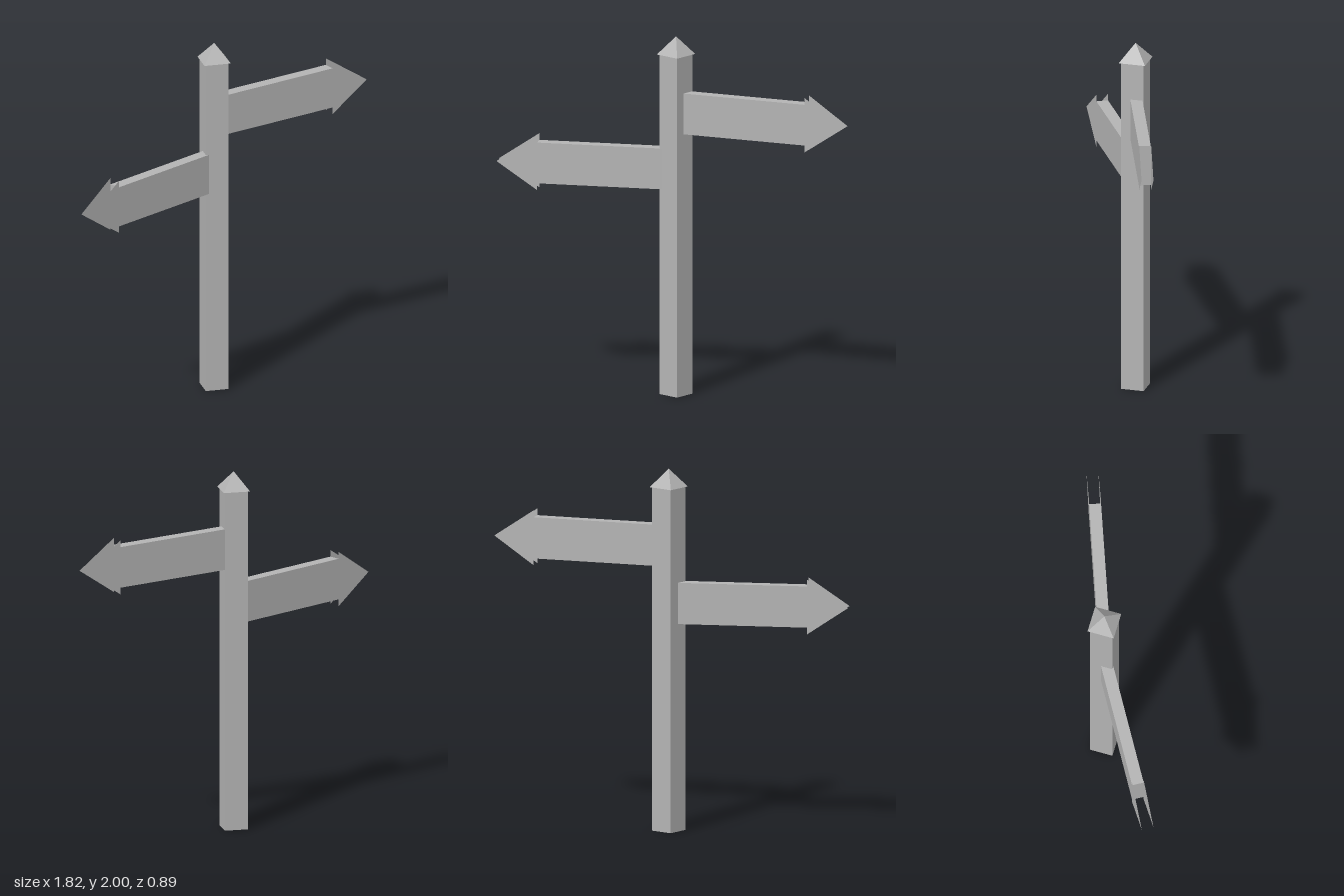
import * as THREE from 'three';

export function createModel() {
  const model = new THREE.Group();
  model.name = 'signpost';

  // The arrowheads are open sheets, so both sides show
  const grey = new THREE.MeshStandardMaterial({ color: 0xb4b4b4, flatShading: true, side: THREE.DoubleSide });
  grey.name = 'grey';

  const postX = -0.037, postZ = -0.077;

  function add(parent, name, geometry, x, y, z) {
    const mesh = new THREE.Mesh(geometry, grey);
    mesh.name = name;
    mesh.position.set(x, y, z);
    parent.add(mesh);
    return mesh;
  }

  // Square post with a pyramid cap
  add(model, 'post', new THREE.BoxGeometry(0.128, 1.9, 0.128), postX, 0.95, postZ);
  const cap = new THREE.ConeGeometry(0.148 / Math.SQRT2, 0.1, 4);
  cap.rotateY(Math.PI / 4);
  add(model, 'postCap', cap, postX, 1.95, postZ);

  // Arrow sign: a board running out from the post centre,
  // with a thin triangular sheet on each face for the head
  const boardLength = 0.765, boardHeight = 0.228, thickness = 0.065;
  const headLength = 0.226, headHeight = 0.304;
  const head = new THREE.Shape([
    new THREE.Vector2(0, -headHeight / 2),
    new THREE.Vector2(headLength, 0),
    new THREE.Vector2(0, headHeight / 2),
  ]);

  function addSign(name, y, degrees) {
    const sign = new THREE.Group();
    sign.name = name;
    sign.position.set(postX, y, postZ);
    sign.rotation.y = THREE.MathUtils.degToRad(degrees);
    add(sign, 'board', new THREE.BoxGeometry(boardLength, boardHeight, thickness), boardLength / 2, 0, 0);
    for (const side of [1, -1]) {
      const sheet = new THREE.ShapeGeometry(head);
      // Turn the second sheet over so it faces outward
      if (side < 0) sheet.rotateX(Math.PI);
      add(sign, side > 0 ? 'headFront' : 'headBack', sheet, boardLength, 0, side * thickness / 2);
    }
    model.add(sign);
  }
  addSign('leftSign', 1.578, 20);
  addSign('rightSign', 1.262, 210);

  return model;
}
